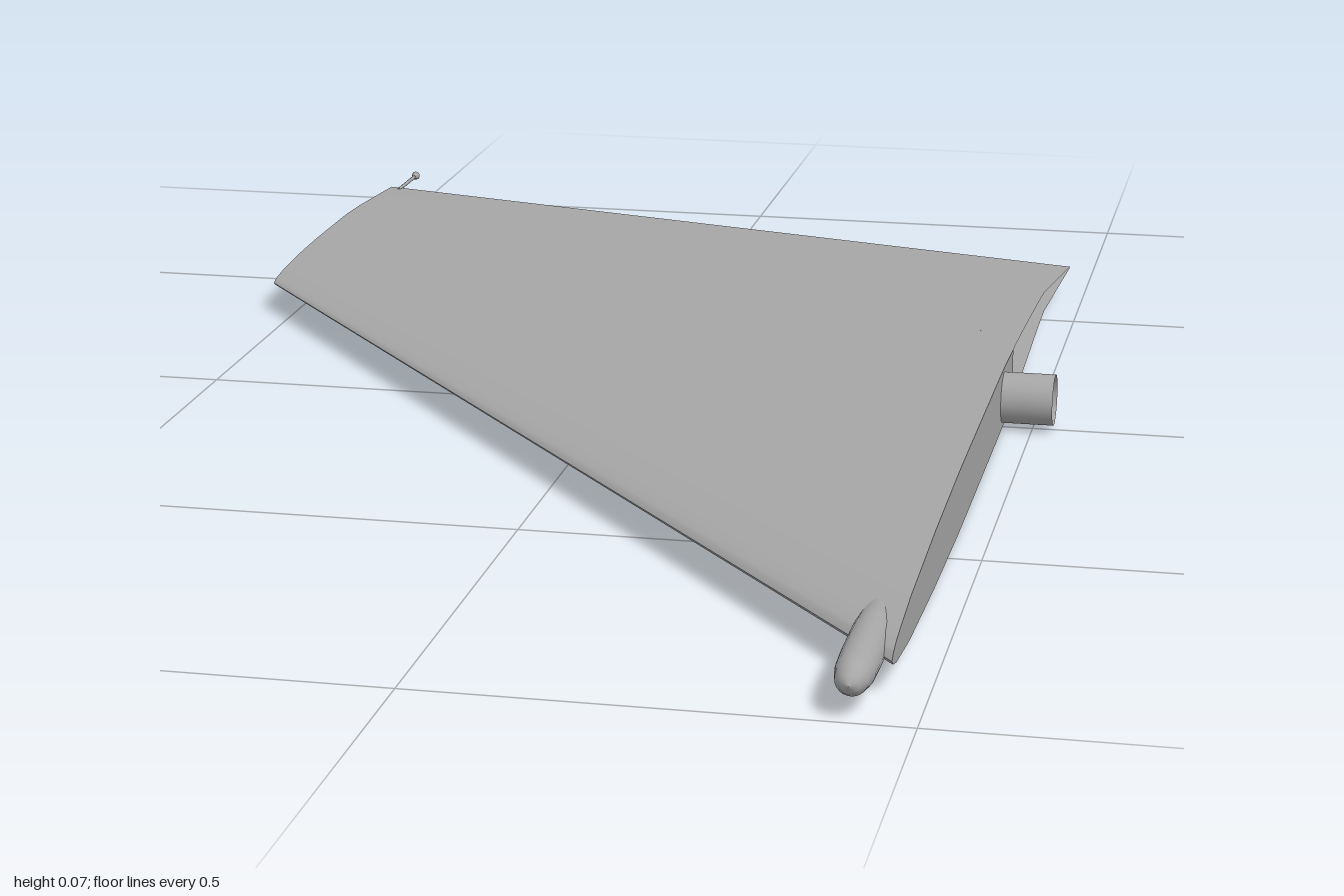
import * as THREE from 'three';

const MID = 0.036; // height of the fin's centre plane
const SLOT = 0.65; // chord fraction where the open root slot starts
const lerp = THREE.MathUtils.lerp;

// Half-thickness of the fin section along the chord, 0 = leading edge
const PROFILE = [[0, 0], [0.005, 0.16], [0.02, 0.33], [0.08, 0.62], [0.2, 0.87], [0.33, 1],
  [0.59, 1], [0.7, 0.82], [0.85, 0.43], [1, 0.02]];
function thickness(u) {
  const i = Math.max(1, PROFILE.findIndex((p) => p[0] >= u));
  const [a, b] = [PROFILE[i - 1], PROFILE[i]];
  return lerp(a[1], b[1], (u - a[0]) / (b[0] - a[0]));
}

// Point on the fin: s = tip to root, u = leading to trailing edge, v = bottom to top
function finPoint(s, u, v) {
  const flare = 0.015 * Math.max(0, (u - 0.875) / 0.125);
  const z = lerp(lerp(-0.34, 0.925, s), lerp(-0.92, -0.645, s), u);
  const y = MID + v * thickness(u) * lerp(0.014, 0.036, s);
  return [lerp(-0.53, 0.465 + flare, s), y, z];
}

// Surface from a grid of points; as and bs are the two parameter lists
function grid(as, bs, fn, flip = false) {
  const pos = [], idx = [], n = bs.length;
  as.forEach((a) => bs.forEach((b) => pos.push(...fn(a, b))));
  for (let i = 0; i < as.length - 1; i++) {
    for (let j = 0; j < n - 1; j++) {
      const p = i * n + j, q = p + n;
      if (flip) idx.push(p, q + 1, q, p, p + 1, q + 1);
      else idx.push(p, q, q + 1, p, q + 1, p + 1);
    }
  }
  const g = new THREE.BufferGeometry();
  g.setAttribute('position', new THREE.Float32BufferAttribute(pos, 3));
  g.setIndex(idx);
  g.computeVertexNormals();
  return g;
}
const steps = (a, b, n) => Array.from({ length: n + 1 }, (_, i) => lerp(a, b, i / n));

export function createModel() {
  const group = new THREE.Group();
  const grey = new THREE.MeshStandardMaterial({ color: 0xa6a6a6, side: THREE.DoubleSide });
  grey.name = 'grey';
  const add = (name, geometry) => {
    const mesh = new THREE.Mesh(geometry, grey);
    mesh.name = name;
    group.add(mesh);
    return mesh;
  };

  // Chord stations, closer together at the leading edge
  const chord = [0, 0.005, 0.01, 0.02, 0.04, 0.06, 0.08, ...steps(0.12, 1, 22)];
  const span = steps(0, 1, 10);
  add('upperSkin', grid(span, chord, (s, u) => finPoint(s, u, 1)));
  add('lowerSkin', grid(span, chord, (s, u) => finPoint(s, u, -1), true));

  // End faces: closed tip, closed front of the root, recessed wall in the rear slot
  const rise = [-1, 1];
  add('tipFace', grid(chord, rise, (u, v) => finPoint(0, u, v), true));
  const front = [...chord.filter((u) => u < SLOT), SLOT];
  add('rootFace', grid(front, rise, (u, v) => finPoint(1, u, v)));
  add('slotWall', grid(steps(SLOT, 1, 10), rise, (u, v) => finPoint(0.95, u, v)));
  add('slotEnd', grid([0.95, 1], rise, (s, v) => finPoint(s, SLOT, v), true));

  // Hollow mounting stub on the root
  const stub = new THREE.CylinderGeometry(0.03, 0.03, 0.1, 32, 1, true);
  add('mountingStub', stub.rotateZ(Math.PI / 2).translate(0.475, MID, 0));

  // Rounded pod at the front of the root
  const podProfile = [[0.012, 0.76], [0.018, 0.8], [0.0205, 0.86], [0.0205, 0.92], [0.0195, 0.96],
    [0.016, 0.983], [0.01, 0.995], [0, 1]].map(([r, z]) => new THREE.Vector2(r, z));
  add('nosePod', new THREE.LatheGeometry(podProfile, 24).rotateX(Math.PI / 2).translate(0.435, MID, 0));

  // Thin rod with a small bead trailing from the tip
  const rod = new THREE.CylinderGeometry(0.0025, 0.0025, 0.09, 8);
  add('tipRod', rod.rotateX(Math.PI / 2).translate(-0.515, MID, -0.95));
  const bead = new THREE.CylinderGeometry(0.003, 0.006, 0.012, 10);
  add('tipBead', bead.rotateX(Math.PI / 2).translate(-0.515, MID, -0.994));

  return group;
}
